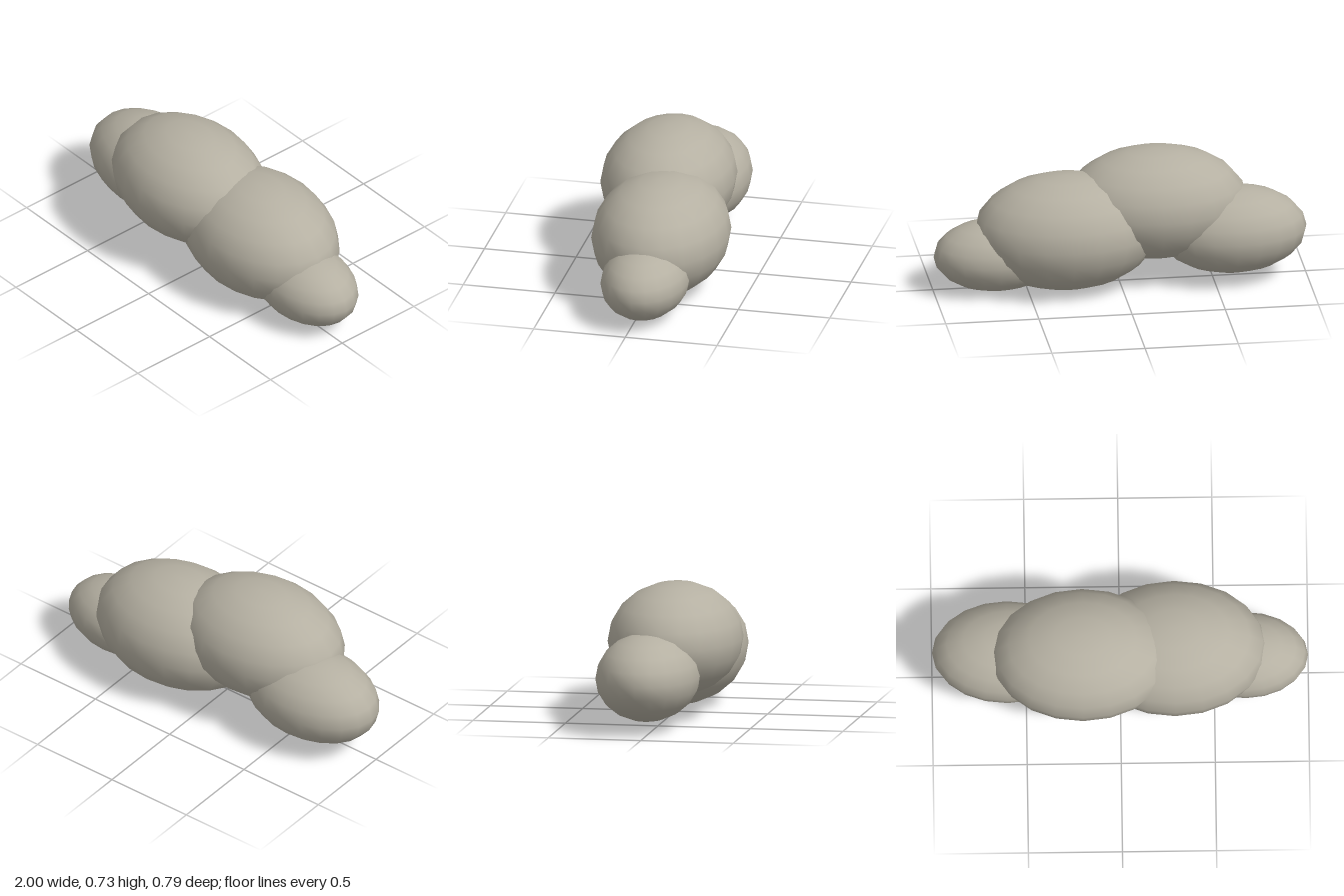
import * as THREE from 'three';

export function createModel() {
  const model = new THREE.Group();
  model.name = 'boulderCluster';

  const stone = new THREE.MeshStandardMaterial({ color: 0xb5b0a2 });
  stone.name = 'warm grey';

  // One shared smooth ball, stretched into each overlapping lobe
  const ball = new THREE.SphereGeometry(1, 20, 10);
  const lobes = [
    // name, centre, radii
    ['rightEndLobe', [-0.6, 0.28, -0.035], [0.4, 0.235, 0.275]],
    ['rightMainLobe', [-0.2, 0.427, 0.04], [0.49, 0.302, 0.357]],
    ['leftMainLobe', [0.29, 0.314, -0.032], [0.495, 0.314, 0.365]],
    ['leftEndLobe', [0.665, 0.198, -0.032], [0.335, 0.193, 0.233]],
  ];

  for (const [name, centre, radii] of lobes) {
    const lobe = new THREE.Mesh(ball, stone);
    lobe.name = name;
    lobe.position.set(...centre);
    lobe.scale.set(...radii);
    model.add(lobe);
  }
  return model;
}
